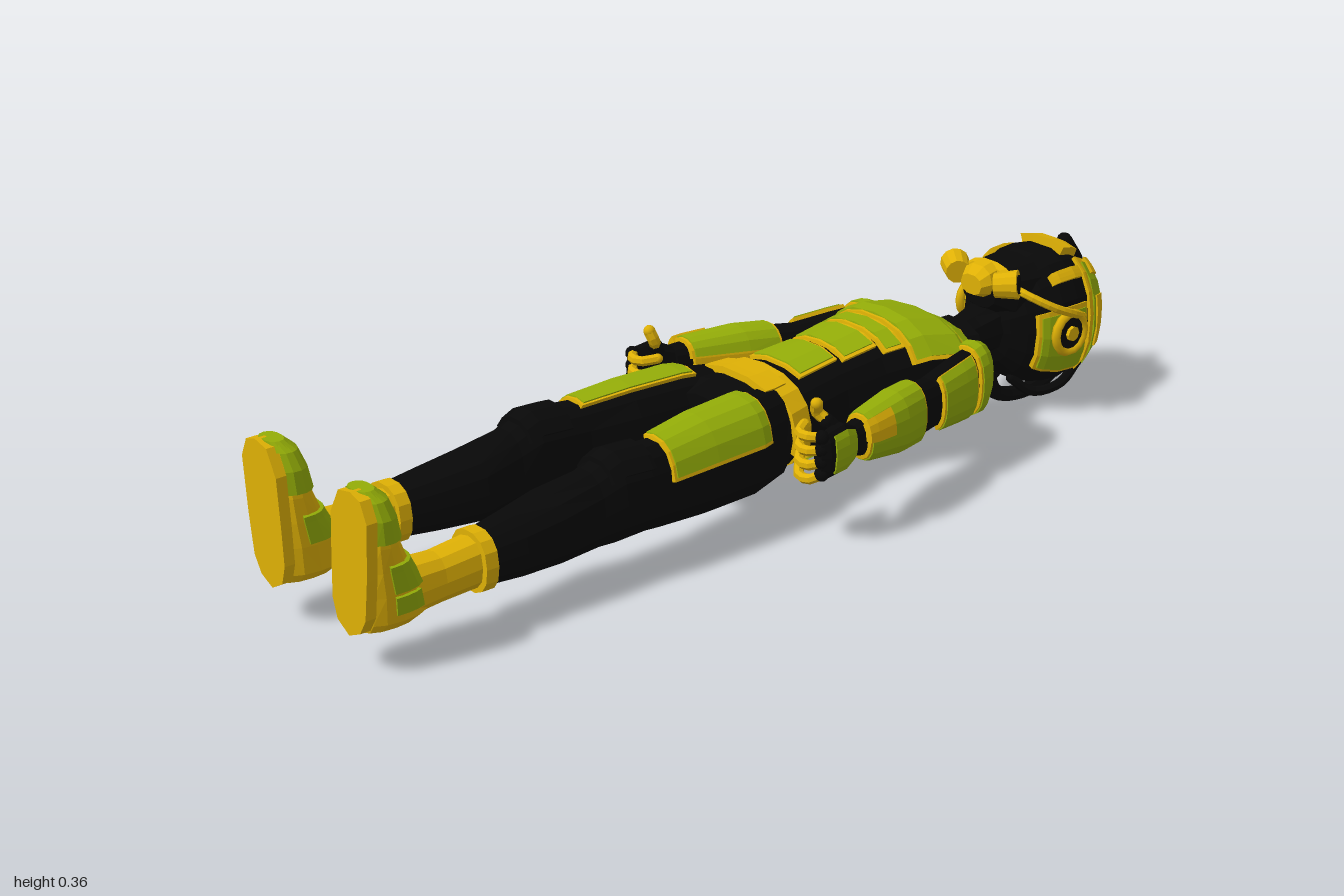
import * as THREE from 'three';

const mat = (name, color) => {
  const m = new THREE.MeshStandardMaterial({ color });
  m.name = name;
  return m;
};
const V = (p) => new THREE.Vector3(...p);
const RAD = Math.PI / 180;

// Faceted surface through rows of points; closed rows get end caps
function skin(rows, closed) {
  const pos = [], n = rows[0].length;
  const tri = (...ps) => ps.forEach((p) => pos.push(...p));
  for (let i = 0; i < rows.length - 1; i++) {
    for (let j = 0; j < (closed ? n : n - 1); j++) {
      const k = (j + 1) % n;
      tri(rows[i][j], rows[i][k], rows[i + 1][k]);
      tri(rows[i][j], rows[i + 1][k], rows[i + 1][j]);
    }
  }
  if (closed) {
    const a = rows[0], b = rows[rows.length - 1];
    for (let j = 1; j < n - 1; j++) {
      tri(a[0], a[j + 1], a[j]);
      tri(b[0], b[j], b[j + 1]);
    }
  }
  const g = new THREE.BufferGeometry();
  g.setAttribute('position', new THREE.Float32BufferAttribute(pos, 3));
  g.computeVertexNormals();
  return g;
}

// Cross-section is [z, centreX, centreY, radiusX, radiusY], slightly squared
const squash = (v) => Math.sign(v) * Math.abs(v) ** 0.85;
const at = ([z, cx, cy, rx, ry], a, off = 0) =>
  [cx + (rx + off) * squash(Math.cos(a)), cy + (ry + off) * squash(Math.sin(a)), z];
const loft = (body, n = 14) => skin(body.map((s) =>
  Array.from({ length: n }, (_, j) => at(s, (j / n) * Math.PI * 2))), true);

function section(body, z) {
  let i = 0;
  while (i < body.length - 2 && z > body[i + 1][0]) i++;
  const t = THREE.MathUtils.clamp((z - body[i][0]) / (body[i + 1][0] - body[i][0]), 0, 1);
  return body[i].map((v, k) => v + (body[i + 1][k] - v) * t);
}

// Armour plate that follows a body between two z values and two angles, edges sunk in
function plate(body, z0, z1, a0, a1, off) {
  const zs = [z0, z0 + 0.002, ...body.map((s) => s[0]).filter((z) => z > z0 + 0.006 && z < z1 - 0.006), z1 - 0.002, z1];
  const n = Math.max(3, Math.ceil((a1 - a0) / 22));
  const as = [a0, ...Array.from({ length: n + 1 }, (_, j) => a0 + ((a1 - a0) * j) / n), a1];
  return skin(zs.map((z, i) => {
    const s = section(body, z);
    return as.map((a, j) => {
      const edge = i === 0 || i === zs.length - 1 || j === 0 || j === as.length - 1;
      return at(s, a * RAD, edge ? -0.004 : off);
    });
  }), false);
}

export function createModel() {
  const black = mat('black suit', 0x080808);
  const gold = mat('gold trim', 0xdeb005);
  const green = mat('green armour', 0x94ad08);
  const root = new THREE.Group();
  root.name = 'armouredPilot';

  const add = (parent, name, geo, m, p = [0, 0, 0], r = [0, 0, 0]) => {
    const mesh = new THREE.Mesh(geo, m);
    mesh.name = name;
    mesh.position.set(...p);
    mesh.rotation.set(...r);
    parent.add(mesh);
    return mesh;
  };
  // Green plate with a thin gold border beneath it
  const armour = (parent, name, body, z0, z1, a0, a1, off = 0.01) => {
    add(parent, name + 'Trim', plate(body, z0 - 0.006, z1 + 0.006, a0 - 4, a1 + 4, off * 0.75), gold);
    add(parent, name, plate(body, z0, z1, a0, a1, off), green);
  };
  const tube = (parent, name, pts, r, m, seg = 12) => {
    const path = new THREE.CatmullRomCurve3(pts.map(V));
    const g = new THREE.TubeGeometry(path, seg, r, 7).toNonIndexed();
    g.computeVertexNormals();
    add(parent, name, g, m);
    [pts[0], pts[pts.length - 1]].forEach((p) => add(parent, name + 'End', new THREE.IcosahedronGeometry(r, 1), m, p));
  };
  const cyl = (r0, r1, h, n = 12) => {
    const g = new THREE.CylinderGeometry(r0, r1, h, n).toNonIndexed();
    g.computeVertexNormals();
    return g;
  };

  // Torso, lying on its back with the chest upwards
  const torso = [[-0.565, 0, 0.17, 0.07, 0.05], [-0.53, 0, 0.175, 0.135, 0.08], [-0.48, 0, 0.18, 0.155, 0.1],
    [-0.4, 0, 0.185, 0.14, 0.112], [-0.3, 0, 0.18, 0.12, 0.108], [-0.2, 0, 0.173, 0.112, 0.1],
    [-0.1, 0, 0.168, 0.125, 0.095], [-0.02, 0, 0.165, 0.145, 0.095], [0.04, 0, 0.165, 0.145, 0.095], [0.09, 0, 0.165, 0.08, 0.08]];
  add(root, 'torso', loft(torso, 18), black);
  armour(root, 'upperChest', torso, -0.55, -0.5, 15, 165);
  armour(root, 'chestPlate', torso, -0.49, -0.365, 25, 155, 0.013);
  armour(root, 'lowerChestPlate', torso, -0.35, -0.312, 46, 134);
  armour(root, 'upperAbdomen', torso, -0.295, -0.22, 57, 123);
  armour(root, 'lowerAbdomen', torso, -0.2, -0.105, 62, 118);
  armour(root, 'upperBack', torso, -0.55, -0.34, 190, 350);
  armour(root, 'middleBack', torso, -0.325, -0.22, 210, 330);
  armour(root, 'lowerBack', torso, -0.205, -0.09, 230, 310);
  add(root, 'belt', plate(torso, -0.075, -0.02, -15, 195, 0.01), gold);
  add(root, 'beltFront', plate(torso, -0.055, 0.005, 58, 122, 0.014), gold);
  add(root, 'beltBack', plate(torso, -0.055, -0.04, 195, 345, 0.004), gold);

  // Neck and collar
  add(root, 'neck', loft([[-0.72, 0, 0.2, 0.06, 0.06], [-0.64, 0, 0.19, 0.047, 0.045], [-0.54, 0, 0.175, 0.055, 0.05]], 10), black);
  add(root, 'neckFlare', loft([[-0.61, 0, 0.18, 0.075, 0.055], [-0.58, 0, 0.18, 0.055, 0.05]], 10), black);
  add(root, 'collar', loft([[-0.585, 0, 0.175, 0.062, 0.055], [-0.555, 0, 0.175, 0.075, 0.062], [-0.53, 0, 0.175, 0.085, 0.075]], 12), gold);

  // Helmet shell, brow and crest hose
  const helmet = Array.from({ length: 11 }, (_, i) => {
    const t = 0.12 + (i / 10) * (Math.PI - 0.4);
    return [-0.83 - 0.155 * Math.cos(t), 0, 0.195, 0.13 * Math.sin(t), 0.15 * Math.sin(t)];
  });
  add(root, 'helmet', loft(helmet, 18), black);
  add(root, 'browLamp', plate(helmet, -0.905, -0.853, 68, 112, 0.018), gold);
  tube(root, 'crestHose', [[0, 0.335, -0.925], [0, 0.27, -0.968], [0, 0.19, -0.984], [0, 0.11, -0.968],
    [0, 0.05, -0.92], [0, 0.022, -0.86], [0, 0.017, -0.79], [0, 0.035, -0.73], [0, 0.09, -0.7]], 0.0165, black, 28);

  // Face mask and mouthpiece
  const mask = [[-0.78, 0, 0.265, 0.09, 0.075], [-0.71, 0, 0.275, 0.08, 0.06], [-0.67, 0, 0.285, 0.05, 0.04]];
  add(root, 'mask', loft(mask, 12), black);
  add(root, 'chinGuard', plate(mask, -0.705, -0.685, 40, 140, 0.008), gold);
  add(root, 'mouthpiece', loft([[-0.69, 0, 0.305, 0.04, 0.04], [-0.665, 0, 0.305, 0.042, 0.035], [-0.645, 0, 0.3, 0.03, 0.022]], 10), gold);

  // Everything paired is modelled on +x and mirrored
  for (const side of [1, -1]) {
    const half = new THREE.Group();
    half.name = side > 0 ? 'leftSide' : 'rightSide';
    half.scale.x = side;
    root.add(half);

    // Helmet side panels, ear ring, air hose and filter
    add(half, 'crownRim', plate(helmet, -0.968, -0.875, -52, 60, 0.007), gold);
    add(half, 'crownPlate', plate(helmet, -0.958, -0.89, -44, 53, 0.01), green);
    add(half, 'crownWindow', plate(helmet, -0.945, -0.9, -22, 18, 0.014), gold);
    add(half, 'browPad', plate(helmet, -0.935, -0.905, 40, 58, 0.016), gold);
    armour(half, 'cheekPlate', helmet, -0.86, -0.745, -32, 12);
    add(half, 'visorBar', plate(helmet, -0.87, -0.785, 38, 49, 0.01), gold);
    add(half, 'earDisc', cyl(0.036, 0.036, 0.03), black, [0.132, 0.195, -0.8], [0, 0, Math.PI / 2]);
    add(half, 'earRing', new THREE.TorusGeometry(0.042, 0.01, 6, 14), gold, [0.143, 0.195, -0.8], [0, Math.PI / 2, 0]);
    add(half, 'earBolt', cyl(0.016, 0.016, 0.04, 8), gold, [0.135, 0.195, -0.8], [0, 0, Math.PI / 2]);
    tube(half, 'airHose', [[0.135, 0.22, -0.845], [0.153, 0.24, -0.8], [0.148, 0.265, -0.745], [0.115, 0.29, -0.705], [0.07, 0.305, -0.69]], 0.009, gold);
    const filter = new THREE.Group();
    filter.name = 'breathingFilter';
    filter.position.set(0.074, 0.312, -0.675);
    filter.rotation.set(0.2, Math.PI / 5, -Math.PI / 2);
    half.add(filter);
    add(filter, 'filterBody', cyl(0.031, 0.026, 0.05), gold);
    add(filter, 'filterHole', cyl(0.02, 0.02, 0.006), black, [0, 0.025, 0]);
    tube(half, 'rearHose', [[0.035, 0.075, -0.74], [0.06, 0.042, -0.78], [0.082, 0.05, -0.84], [0.075, 0.085, -0.9]], 0.011, black);

    // Arm
    const arm = [[-0.55, 0.118, 0.18, 0.02, 0.035], [-0.53, 0.145, 0.18, 0.032, 0.055], [-0.5, 0.158, 0.18, 0.041, 0.068],
      [-0.42, 0.178, 0.18, 0.04, 0.062], [-0.33, 0.2, 0.18, 0.035, 0.053], [-0.28, 0.212, 0.182, 0.037, 0.056],
      [-0.2, 0.236, 0.188, 0.041, 0.055], [-0.1, 0.262, 0.195, 0.032, 0.042], [-0.055, 0.272, 0.2, 0.025, 0.032]];
    add(half, 'arm', loft(arm), black);
    armour(half, 'shoulderCap', arm, -0.545, -0.475, -95, 130);
    armour(half, 'upperArmPlate', arm, -0.455, -0.345, -65, 62);
    armour(half, 'forearmPlate', arm, -0.27, -0.085, -135, 165);
    add(half, 'innerForearmPanel', plate(arm, -0.24, -0.085, 168, 222, 0.006), gold);
    add(half, 'forearmPanel', plate(arm, -0.155, -0.075, 0, 55, 0.014), gold);

    // Hand with curled fingers and raised thumb
    const hand = [[-0.06, 0.274, 0.2, 0.022, 0.03], [-0.02, 0.282, 0.2, 0.026, 0.05], [0.025, 0.288, 0.195, 0.02, 0.048], [0.04, 0.285, 0.195, 0.012, 0.038]];
    add(half, 'palm', loft(hand, 10), black);
    add(half, 'handPlate', plate(hand, -0.05, 0.015, -50, 50, 0.002), green);
    for (let i = 0; i < 4; i++) {
      const y = 0.158 + i * 0.025;
      const drop = (3 - i) * 0.004;
      tube(half, 'finger', [[0.287, y, 0.025], [0.27, y - drop, 0.047], [0.242, y - drop, 0.049], [0.222, y + 0.004, 0.03 - i * 0.004]], 0.0105, gold, 6);
      add(half, 'knuckle', new THREE.IcosahedronGeometry(0.015, 1), black, [0.287, y, 0.032]);
    }
    tube(half, 'thumbBase', [[0.275, 0.225, -0.025], [0.26, 0.248, -0.005]], 0.016, black, 3);
    tube(half, 'thumb', [[0.26, 0.25, -0.005], [0.246, 0.266, 0.008], [0.252, 0.287, 0.015]], 0.0125, gold, 6);

    // Leg
    const leg = [[-0.02, 0.08, 0.165, 0.06, 0.092], [0.08, 0.1, 0.165, 0.074, 0.1], [0.2, 0.11, 0.165, 0.07, 0.098],
      [0.31, 0.122, 0.165, 0.06, 0.088], [0.36, 0.126, 0.17, 0.065, 0.086], [0.42, 0.126, 0.17, 0.062, 0.09],
      [0.47, 0.125, 0.16, 0.058, 0.078], [0.56, 0.122, 0.15, 0.066, 0.072], [0.65, 0.13, 0.145, 0.057, 0.063], [0.73, 0.135, 0.143, 0.046, 0.054]];
    add(half, 'leg', loft(leg), black);
    add(half, 'kneePad', plate(leg, 0.35, 0.45, 35, 145, 0.008), black);
    armour(half, 'thighPlate', leg, 0.055, 0.305, 14, 108, 0.009);

    // Boot: cuff, shaft, foot with green panels, and sole
    add(half, 'bootCuff', loft([[0.718, 0.135, 0.142, 0.055, 0.06], [0.745, 0.135, 0.142, 0.055, 0.06]]), gold);
    add(half, 'bootShaft', loft([[0.74, 0.135, 0.142, 0.043, 0.05], [0.82, 0.135, 0.136, 0.04, 0.048], [0.93, 0.135, 0.135, 0.046, 0.056]], 12), gold);
    const foot = [[0.08, 0.115, 0.035], [0.095, 0.14, 0.046], [0.15, 0.125, 0.051], [0.2, 0.098, 0.053],
      [0.25, 0.075, 0.056], [0.305, 0.062, 0.056], [0.338, 0.05, 0.043], [0.354, 0.032, 0.024]]
      .map(([y, h, w]) => [y, 0.132 + (y - 0.08) * 0.04, h / 2 - 0.985, w, h / 2]);
    const footGroup = new THREE.Group();
    footGroup.name = 'foot';
    footGroup.rotation.x = -Math.PI / 2;
    half.add(footGroup);
    add(footGroup, 'footUpper', loft(foot), gold);
    add(footGroup, 'toeCap', plate(foot, 0.258, 0.352, -35, 215, 0.005), green);
    add(footGroup, 'toeTip', loft(foot.slice(-2).map((s, i) => [s[0] + i * 0.002, s[1], s[2], s[3] + 0.004, s[4] + 0.003])), green);
    add(footGroup, 'instepPanel', plate(foot, 0.155, 0.215, -10, 190, 0.006), green);
    add(footGroup, 'outerHeelPanel', plate(foot, 0.11, 0.15, -10, 35, 0.005), green);
    const outline = [[0.2, 0.31], [0.182, 0.348], [0.152, 0.357], [0.115, 0.349], [0.088, 0.3], [0.081, 0.2],
      [0.078, 0.13], [0.09, 0.092], [0.125, 0.072], [0.16, 0.088], [0.18, 0.12], [0.191, 0.2]];
    const sole = new THREE.ExtrudeGeometry(new THREE.Shape(outline.map(([x, y]) => new THREE.Vector2(x, y))), { depth: 0.022, bevelEnabled: false });
    add(half, 'sole', sole, gold, [0, 0, 0.976]);
  }
  return root;
}
